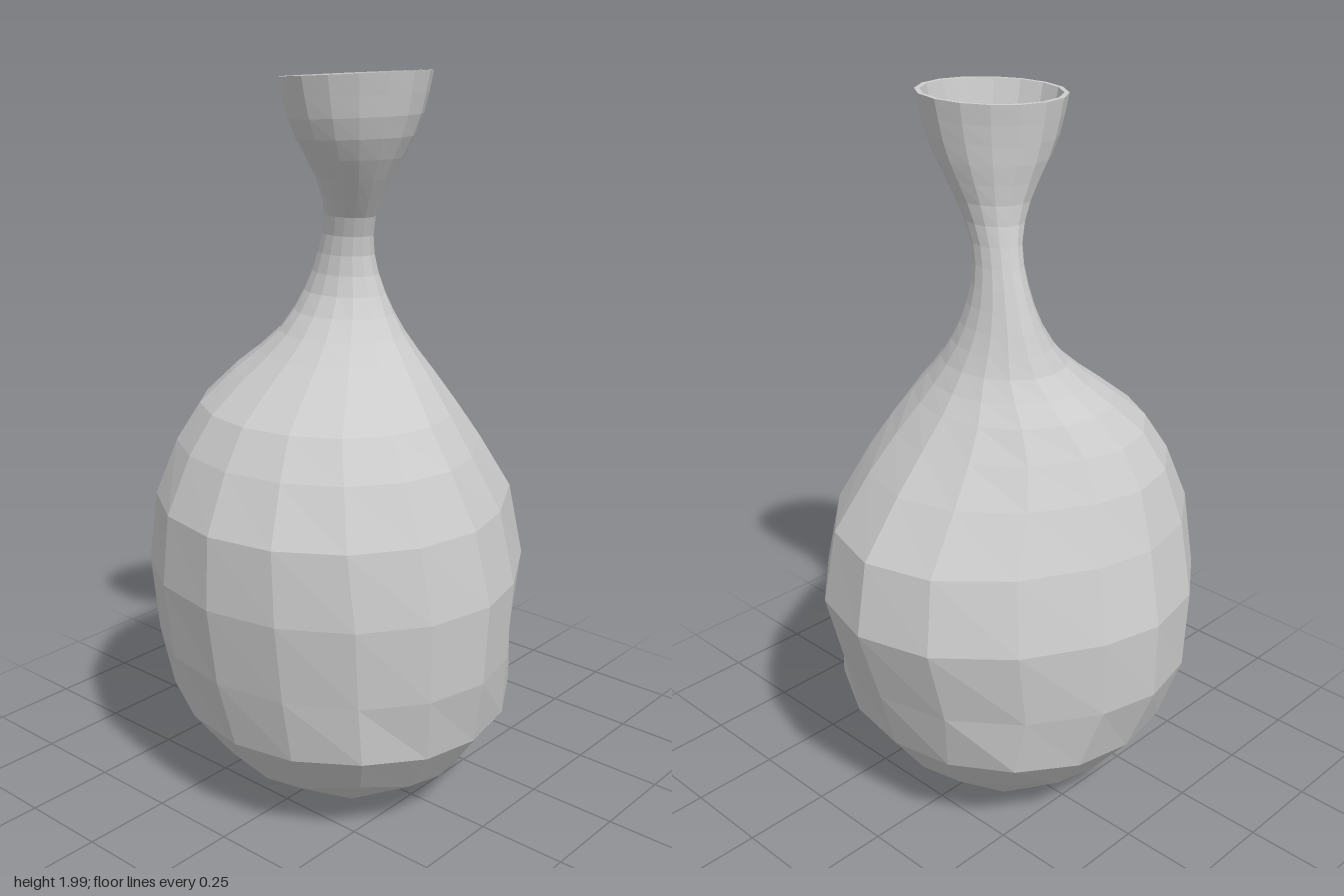
import * as THREE from 'three';

const SIDES = 16;
const WALL = 0.012;

// Cross-sections going up: height, min x, max x, min z, max z
const SECTIONS = [
  [0.12, -0.33, 0.37, -0.30, 0.35],
  [0.27, -0.455, 0.48, -0.41, 0.46],
  [0.46, -0.525, 0.52, -0.47, 0.505],
  [0.68, -0.53, 0.53, -0.535, 0.537],
  [0.88, -0.48, 0.49, -0.495, 0.53],
  [1.03, -0.425, 0.42, -0.385, 0.455],
  [1.13, -0.365, 0.35, -0.30, 0.385],
  [1.21, -0.30, 0.27, -0.235, 0.28],
  [1.30, -0.205, 0.175, -0.17, 0.165],
  [1.40, -0.155, 0.105, -0.125, 0.075],
  [1.52, -0.105, 0.065, -0.09, 0.037],
  [1.62, -0.07, 0.08, -0.07, 0.045],
  [1.70, -0.056, 0.13, -0.07, 0.092],
  [1.85, -0.078, 0.218, -0.11, 0.19],
  [1.985, -0.094, 0.249, -0.136, 0.23],
];
const profile = new THREE.CubicInterpolant(
  SECTIONS.map((s) => s[0]), SECTIONS.flatMap((s) => s.slice(1)), 4);
const { smoothstep } = THREE.MathUtils;

// One ring of the wall; inset moves it inwards for the inner face
function ring(y, inset = 0) {
  const [x0, x1, z0, z1] = profile.evaluate(y);
  const top = smoothstep(y, 1.65, 1.95);
  const low = 1 - smoothstep(y, 0.1, 0.4);
  const belly = smoothstep(y, 0.2, 0.6) * (1 - smoothstep(y, 1.0, 1.35));
  const cx = (x0 + x1) / 2, cz = (z0 + z1) / 2 + 0.045 * belly;
  const rx = (x1 - x0) / 2 - inset;
  const front = z1 - cz - inset, back = cz - z0 - inset;
  const skew = 0.1 * top;
  const points = [];
  for (let k = 0; k < SIDES; k++) {
    const a = (k / SIDES) * Math.PI * 2, c = Math.cos(a), s = Math.sin(a);
    // The back of the belly comes to a blunt point
    const depth = s > 0 ? front * s : -back * Math.abs(s) ** (1 + 0.3 * belly);
    // Raised, wider corners near the base
    const corner = low * Math.abs(Math.sin(2 * a)) ** 3;
    const grow = 1 + 0.16 * corner;
    const x = cx + grow * rx * (c - skew * s);
    const z = cz + grow * (depth - skew * rx * c);
    points.push([x, y + 0.06 * corner + top * 0.055 * (x - cx), z]);
  }
  return points;
}

function createVaseGeometry() {
  // Wide steps on the belly, fine steps on the neck
  const heights = SECTIONS.map((s) => s[0]).filter((y) => y < 1.2);
  for (let i = 0; i <= 15; i++) heights.push(1.21 + (0.775 * i) / 15);

  // Up the outside, over the lip, down into the cup
  const rings = [
    ...heights.map((y) => ring(y)),
    ...heights.filter((y) => y > 1.7).reverse().map((y) => ring(y, WALL)),
  ];
  const positions = rings.flat(2);
  const index = [];
  const quad = (a, b, c, d) => index.push(a, b, c, a, c, d);
  for (let r = 0; r < rings.length - 1; r++) {
    for (let k = 0; k < SIDES; k++) {
      const n = (k + 1) % SIDES, lo = r * SIDES, hi = lo + SIDES;
      quad(lo + k, hi + k, hi + n, lo + n);
    }
  }

  // Rounded floor: a 4 x 4 patch of quads whose border is a ring;
  // levels are the heights of its centre, edge and corner points
  function addFloor(ringStart, cx, cz, step, levels, flip) {
    const grid = [];
    for (let u = -2; u <= 2; u++) {
      for (let v = -2; v <= 2; v++) {
        let k = null;
        if (u === 2) k = v;
        else if (v === 2) k = 4 - u;
        else if (u === -2) k = 8 - v;
        else if (v === -2) k = 12 + u;
        if (k !== null) {
          grid.push(ringStart + (k + SIDES) % SIDES);
        } else {
          grid.push(positions.length / 3);
          positions.push(cx + step * u, levels[Math.abs(u) + Math.abs(v)], cz + step * v);
        }
      }
    }
    for (let i = 0; i < 4; i++) {
      for (let j = 0; j < 4; j++) {
        const a = grid[i * 5 + j], b = grid[i * 5 + 5 + j];
        const c = grid[i * 5 + 6 + j], d = grid[i * 5 + 1 + j];
        if (flip) quad(a, d, c, b);
        else quad(a, b, c, d);
      }
    }
  }
  // Underside, then the floor of the cup
  addFloor(0, 0.015, 0.02, 0.193, [0, 0.022, 0.068], false);
  addFloor((rings.length - 1) * SIDES, 0.045, 0.02, 0.042, [1.69, 1.7, 1.71], true);

  const geometry = new THREE.BufferGeometry();
  geometry.setAttribute('position', new THREE.Float32BufferAttribute(positions, 3));
  geometry.setIndex(index);
  const flat = geometry.toNonIndexed();
  flat.computeVertexNormals();
  return flat;
}

export function createModel() {
  const group = new THREE.Group();
  group.name = 'vase';
  const material = new THREE.MeshStandardMaterial({ color: 0xcccccc, flatShading: true });
  const body = new THREE.Mesh(createVaseGeometry(), material);
  body.name = 'vaseBody';
  group.add(body);
  return group;
}
